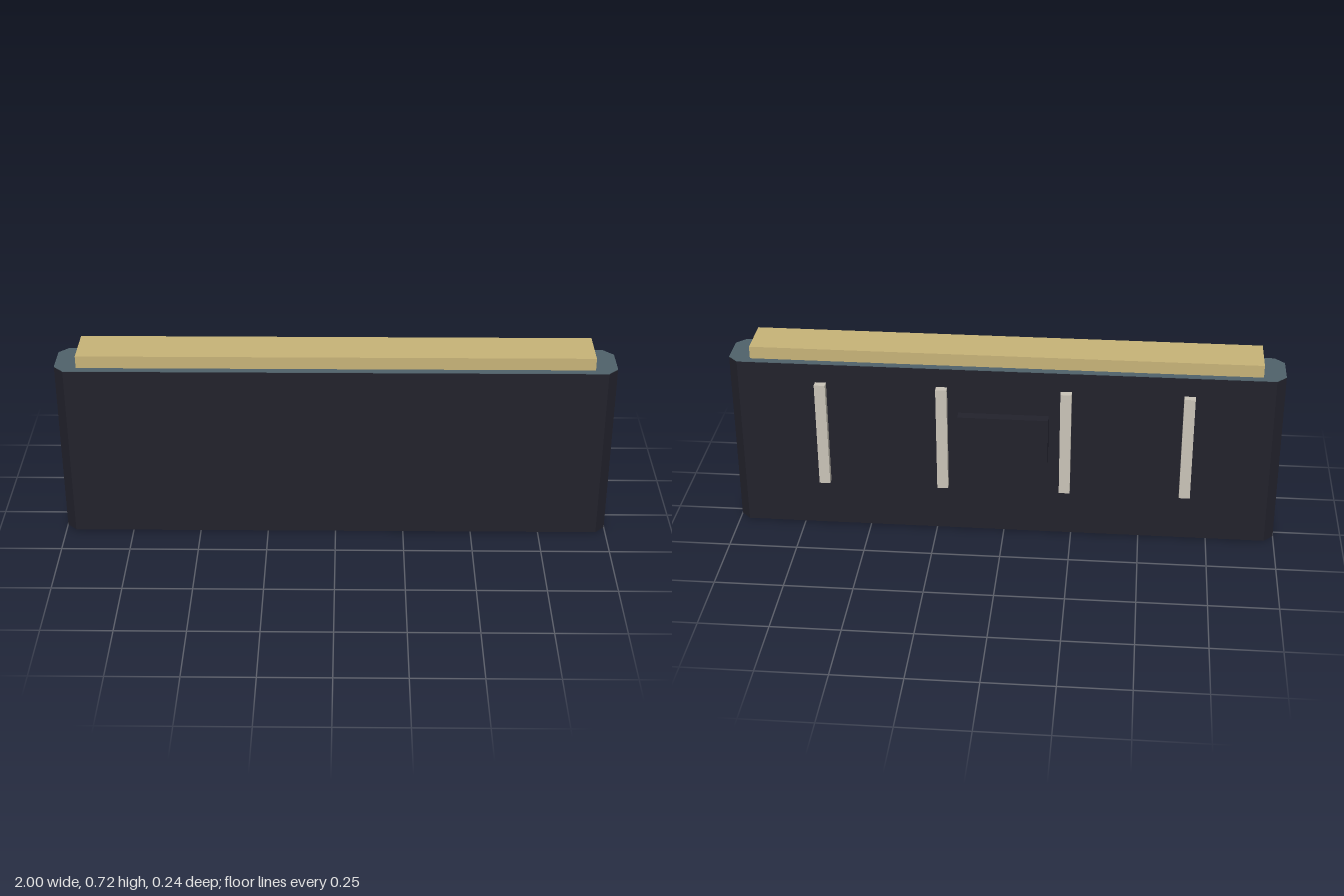
import * as THREE from 'three';

const material = (name, color) => {
  const m = new THREE.MeshStandardMaterial({ color });
  m.name = name;
  return m;
};

export function createModel() {
  const group = new THREE.Group();
  const dark = material('dark charcoal', 0x22222c);
  const slate = material('slate', 0x50626b);
  const gold = material('pale gold', 0xc8b478);
  const stone = material('light stone', 0xcac4b8);

  const add = (name, geometry, mat) => {
    const mesh = new THREE.Mesh(geometry, mat);
    mesh.name = name;
    group.add(mesh);
    return mesh;
  };

  // Box given by its lower and upper corners
  const addBox = (name, [x0, y0, z0], [x1, y1, z1], mat) => {
    const mesh = add(name, new THREE.BoxGeometry(x1 - x0, y1 - y0, z1 - z0), mat);
    mesh.position.set((x0 + x1) / 2, (y0 + y1) / 2, (z0 + z1) / 2);
  };

  // Plan outline with chamfered corners (shape y is -z)
  const w = 1, front = -0.12, back = 0.063, c = 0.035;
  const outline = new THREE.Shape([
    [-w + c, front], [w - c, front], [w, front + c], [w, back - c],
    [w - c, back], [-w + c, back], [-w, back - c], [-w, front + c],
  ].map(([x, y]) => new THREE.Vector2(x, y)));

  // Main body
  const height = 0.664;
  add('body', new THREE.ExtrudeGeometry(outline, { depth: height - 0.002, bevelEnabled: false })
    .rotateX(-Math.PI / 2), dark);

  // Thin coloured top surface
  add('topSurface', new THREE.ExtrudeGeometry(outline, { depth: 0.002, bevelEnabled: false })
    .rotateX(-Math.PI / 2).translate(0, height - 0.002, 0), slate);

  // Raised slab above the body
  addBox('topSlab', [-0.918, 0.672, -0.052], [0.918, 0.718, 0.11], gold);

  // Four upright strips on the back
  for (const x of [-0.663, -0.224, 0.224, 0.663]) {
    addBox('backStrip', [x - 0.02, 0.186, -0.092], [x + 0.02, 0.592, -0.066], stone);
  }

  // Panel between the inner strips
  addBox('backPanel', [-0.163, 0.318, -0.12], [0.163, 0.5, -0.083], dark);

  return group;
}
